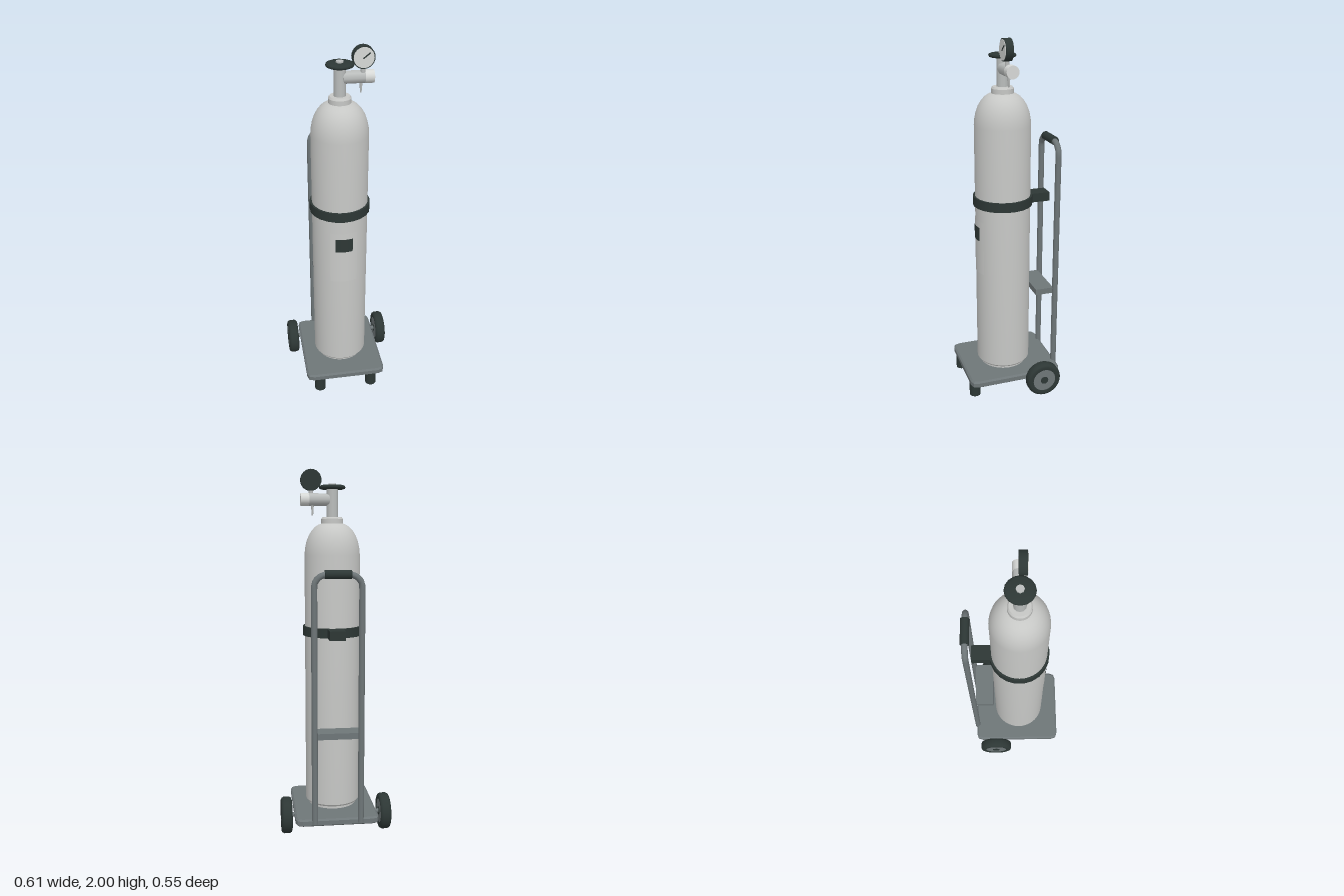
import * as THREE from 'three';
import { toCreasedNormals } from 'three/addons/utils/BufferGeometryUtils.js';

const mat = (name, color, side = THREE.FrontSide) => {
  const m = new THREE.MeshStandardMaterial({ color, side });
  m.name = name;
  return m;
};

export function createModel() {
  const paint = mat('light grey paint', 0xc6c7c5);
  const metal = mat('valve metal', 0xbabdbc);
  const dial = mat('dial white', 0xd6d8d6);
  const frame = mat('frame grey', 0x6e7678);
  const rubber = mat('dark rubber', 0x2d3735);

  const model = new THREE.Group();
  model.name = 'gasCylinderCart';
  const TZ = 0.02; // tank axis

  const add = (name, geo, material, x = 0, y = 0, z = 0, parent = model) => {
    const mesh = new THREE.Mesh(geo, material);
    mesh.name = name;
    mesh.position.set(x, y, z);
    parent.add(mesh);
    return mesh;
  };
  const cyl = (r, h, axis = 'y', seg = 24, rBottom = r) => {
    const g = new THREE.CylinderGeometry(r, rBottom, h, seg);
    if (axis === 'x') g.rotateZ(-Math.PI / 2);
    if (axis === 'z') g.rotateX(Math.PI / 2);
    return g;
  };
  const lathe = (pts, seg, crease = 0.6) => toCreasedNormals(
    new THREE.LatheGeometry(pts.map(p => new THREE.Vector2(...p)), seg), crease);

  // Base plate with bevelled edge and clipped corners
  const w = 0.22, d = 0.2575, c = 0.03, s = new THREE.Shape();
  s.moveTo(-w + c, -d);
  s.lineTo(w - c, -d); s.quadraticCurveTo(w, -d, w, -d + c);
  s.lineTo(w, d - c); s.quadraticCurveTo(w, d, w - c, d);
  s.lineTo(-w + c, d); s.quadraticCurveTo(-w, d, -w, d - c);
  s.lineTo(-w, -d + c); s.quadraticCurveTo(-w, -d, -w + c, -d);
  const plate = new THREE.ExtrudeGeometry(s, {
    depth: 0.024, bevelThickness: 0.008, bevelSize: 0.01, bevelSegments: 1, curveSegments: 2,
  });
  plate.rotateX(-Math.PI / 2);
  add('basePlate', plate, frame, 0, 0.088, 0.007);

  // Front feet, axle and rear wheels
  const tyreProfile = [[0.066, -0.026], [0.085, -0.03], [0.094, -0.026], [0.1, -0.015],
    [0.1, 0.015], [0.094, 0.026], [0.085, 0.03], [0.066, 0.026]];
  const tyre = lathe(tyreProfile, 28, 0.9);
  tyre.rotateZ(-Math.PI / 2);
  add('axle', cyl(0.012, 0.52, 'x', 12), frame, 0, 0.104, -0.133);
  for (const side of [-1, 1]) {
    const label = side > 0 ? 'left' : 'right';
    add(label + 'Foot', cyl(0.032, 0.085, 'y', 16), rubber, side * 0.153, 0.0425, 0.24);
    const wheel = new THREE.Group();
    wheel.name = label + 'Wheel';
    wheel.position.set(side * 0.275, 0.104, -0.133);
    model.add(wheel);
    add('tyre', tyre, rubber, 0, 0, 0, wheel);
    add('hub', cyl(0.068, 0.052, 'x', 28), frame, 0, 0, 0, wheel);
    add('hubCap', cyl(0.022, 0.058, 'x', 16), rubber, 0, 0, 0, wheel);
  }

  // Tank: foot ring, body, domed shoulder and neck
  add('tank', lathe([[0, 0.12], [0.135, 0.12], [0.135, 0.137], [0.146, 0.137], [0.153, 0.147],
    [0.153, 1.54], [0.15, 1.575], [0.143, 1.61], [0.131, 1.643], [0.115, 1.67], [0.095, 1.692],
    [0.075, 1.705], [0.06, 1.71], [0.06, 1.735], [0.053, 1.745], [0, 1.745]], 40),
  paint, 0, 0, TZ);

  // Curved labels on the tank front
  const wrap = (r, h, half) => new THREE.CylinderGeometry(r, r, h, 12, 1, true, -half, half * 2);
  add('labelPanel', wrap(0.1545, 0.31, 0.51), mat('label', 0xc9cac8, THREE.DoubleSide), 0, 0.865, TZ);
  add('labelPatch', wrap(0.1575, 0.08, 0.31), mat('label dark', 0x2d3735, THREE.DoubleSide), 0, 0.946, TZ);

  // Strap and its link to the handle
  add('strap', cyl(0.165, 0.052, 'y', 22), rubber, 0, 1.124, TZ);
  add('strapLink', new THREE.BoxGeometry(0.086, 0.05, 0.115), rubber, 0, 1.124, -0.184);
  add('crossShelf', new THREE.BoxGeometry(0.254, 0.034, 0.105), frame, 0, 0.58, -0.191);

  // Bent tube handle with grip
  const hx = 0.126, top = 1.447, bend = 0.065, hz = -0.255;
  const v = (x, y) => new THREE.Vector3(x, y, hz);
  const pts = [v(-hx, 0.095), v(-hx, 0.75)];
  const arc = [0, 0.25, 0.5, 0.75, 1].map(t => t * Math.PI / 2);
  for (const a of arc) pts.push(v(-hx + bend - bend * Math.cos(a), top - bend + bend * Math.sin(a)));
  for (const a of arc.slice().reverse()) pts.push(v(hx - bend + bend * Math.cos(a), top - bend + bend * Math.sin(a)));
  pts.push(v(hx, 0.75), v(hx, 0.095));
  const path = new THREE.CurvePath();
  for (let i = 1; i < pts.length; i++) path.add(new THREE.LineCurve3(pts[i - 1], pts[i]));
  add('handle', new THREE.TubeGeometry(path, 150, 0.0165, 12), frame);
  for (const x of [-hx, hx]) add('handleFoot', cyl(0.0165, 0.01, 'y', 12), frame, x, 0.099, hz);
  add('handleGrip', cyl(0.0235, 0.14, 'x', 16), rubber, 0, top, hz);

  // Valve: stem, handwheel and nut
  const valve = new THREE.Group();
  valve.name = 'valve';
  valve.position.z = TZ;
  model.add(valve);
  add('stem', cyl(0.032, 0.155, 'y', 12), metal, 0, 1.8175, 0, valve);
  add('handwheel', lathe([[0, 1.893], [0.06, 1.893], [0.07, 1.897], [0.073, 1.904],
    [0.07, 1.911], [0.06, 1.915], [0, 1.915]], 16, 0.9), rubber, 0, 0, 0, valve);
  add('handwheelNut', cyl(0.02, 0.02, 'y', 8), metal, 0, 1.913, 0, valve);

  // Side outlet, cap and bleed pin
  add('outlet', cyl(0.034, 0.115, 'x', 8), metal, 0.0725, 1.838, 0, valve);
  add('outletCap', cyl(0.034, 0.046, 'x', 20), dial, 0.15, 1.838, 0, valve);
  add('bleedPin', cyl(0.009, 0.065, 'y', 8, 0.004), metal, 0.108, 1.787, 0, valve);

  // Pressure gauge
  add('gaugeStem', cyl(0.012, 0.05, 'y', 10), metal, 0.115, 1.88, 0.012, valve);
  const gauge = new THREE.Group();
  gauge.name = 'gauge';
  gauge.position.set(0.115, 1.943, 0.035);
  model.add(gauge);
  add('gaugeBody', cyl(0.057, 0.04, 'z', 24), rubber, 0, 0, 0, gauge);
  add('gaugeFace', cyl(0.052, 0.004, 'z', 24), dial, 0, 0, 0.0205, gauge);
  const needle = add('needle', new THREE.BoxGeometry(0.046, 0.006, 0.003), rubber, 0.014, 0.01, 0.0235, gauge);
  needle.rotation.z = 0.66;

  return model;
}
